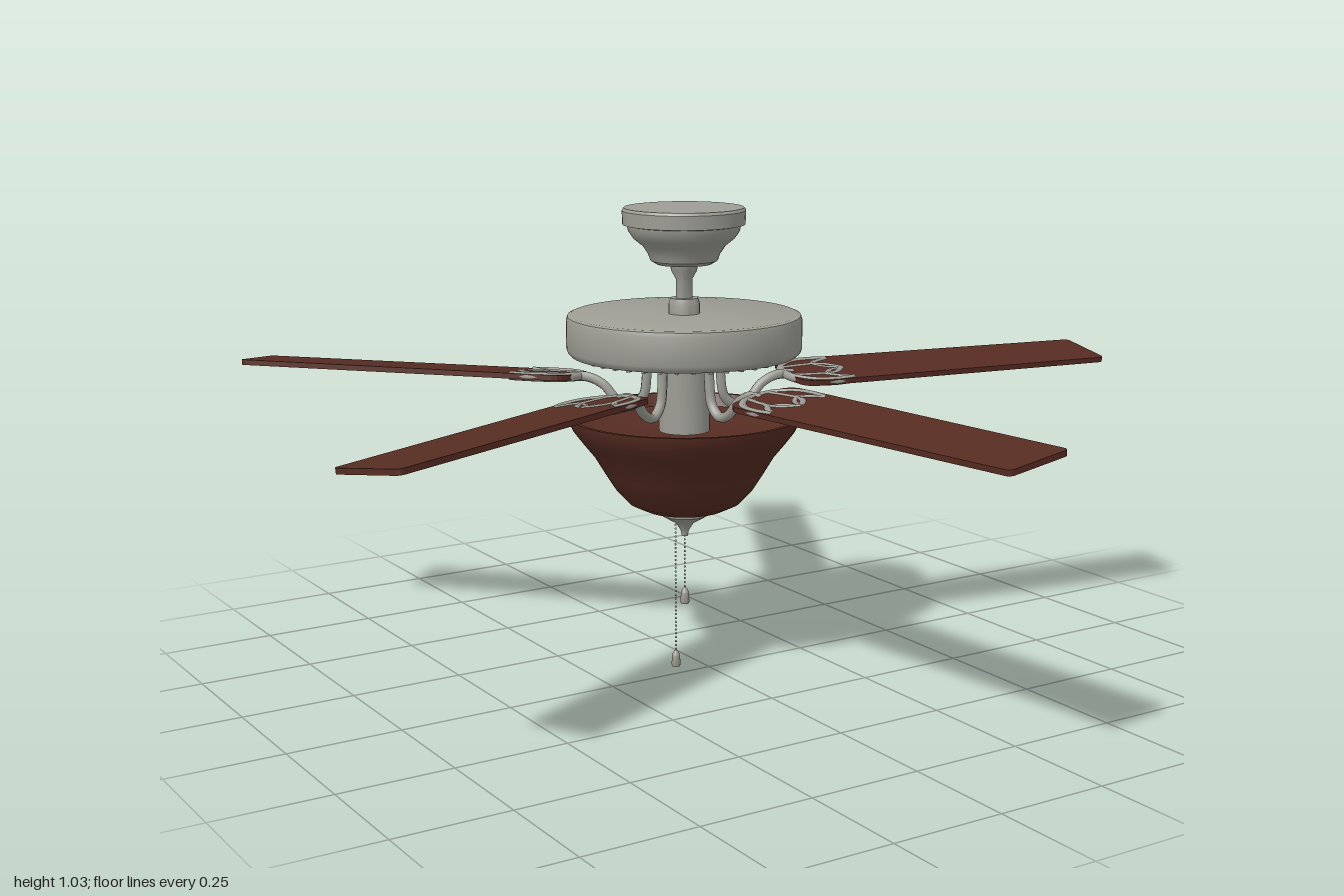
import * as THREE from 'three';
import { toCreasedNormals } from 'three/addons/utils/BufferGeometryUtils.js';

const metal = new THREE.MeshStandardMaterial({ color: 0x9d9d95 });
metal.name = 'brushed metal';
const wood = new THREE.MeshStandardMaterial({ color: 0x562c22 });
wood.name = 'reddish brown';

function add(parent, name, geometry, material) {
  const mesh = new THREE.Mesh(geometry, material);
  mesh.name = name;
  parent.add(mesh);
  return mesh;
}

// Turned part; the profile of [radius, y] runs from bottom to top.
function turned(profile, segments = 48) {
  const pts = profile.map(([r, y]) => new THREE.Vector2(r, y));
  return toCreasedNormals(new THREE.LatheGeometry(pts, segments), 0.6);
}

function tube(points, radius, segments = 24, sides = 8) {
  const curve = new THREE.CatmullRomCurve3(points.map((p) => new THREE.Vector3(...p)));
  return new THREE.TubeGeometry(curve, segments, radius, sides);
}

// Blade outline lying along +x, with rounded corners and a slight taper.
function bladeGeometry() {
  const a = 0.245, b = 1.03, wa = 0.089, wb = 0.08, c = 0.045, d = 0.014, t = 0.012;
  const s = new THREE.Shape();
  s.moveTo(a + c, -wa);
  s.lineTo(b - d, -wb);
  s.quadraticCurveTo(b, -wb, b, -wb + d);
  s.lineTo(b, wb - d);
  s.quadraticCurveTo(b, wb, b - d, wb);
  s.lineTo(a + c, wa);
  s.quadraticCurveTo(a, wa, a, wa - c);
  s.lineTo(a, -wa + c);
  s.quadraticCurveTo(a, -wa, a + c, -wa);
  const g = new THREE.ExtrudeGeometry(s, { depth: t, bevelEnabled: false, curveSegments: 6 });
  return g.translate(0, 0, -t / 2).rotateX(Math.PI / 2);
}

// Pull chain of small beads with a fob at its lower end.
function pullChain(parent, name, x, top, bottom) {
  const chain = new THREE.Group();
  chain.name = name;
  chain.position.x = x;
  parent.add(chain);
  const bead = new THREE.SphereGeometry(0.0026, 6, 4);
  for (let y = bottom + 0.04; y < top; y += 0.009) {
    add(chain, 'chainBead', bead, metal).position.y = y;
  }
  add(chain, 'chainFob', turned([
    [0, bottom], [0.009, bottom], [0.01, bottom + 0.004], [0.009, bottom + 0.026],
    [0.005, bottom + 0.034], [0, bottom + 0.038],
  ], 12), metal);
}

export function createModel() {
  const fan = new THREE.Group();
  fan.name = 'ceilingFan';
  const hub = new THREE.Group();
  hub.name = 'hub';
  hub.position.set(-0.035, 0, -0.046);
  fan.add(hub);

  // Ceiling canopy, downrod and motor
  add(hub, 'canopy', turned([
    [0, 0.908], [0.06, 0.908], [0.073, 0.916], [0.078, 0.93], [0.09, 0.948], [0.11, 0.964],
    [0.121, 0.98], [0.123, 0.992], [0.133, 0.994], [0.134, 1.024], [0.13, 1.03], [0, 1.03],
  ]), metal);
  add(hub, 'downrod', turned([
    [0.018, 0.8], [0.018, 0.875], [0.028, 0.893], [0.031, 0.91],
  ], 24), metal);
  add(hub, 'rodCollar', turned([
    [0.034, 0.795], [0.034, 0.822], [0.03, 0.834], [0, 0.834],
  ], 24), metal);
  add(hub, 'motorHousing', turned([
    [0, 0.712], [0.248, 0.712], [0.254, 0.718], [0.257, 0.726], [0.257, 0.788],
    [0.254, 0.797], [0.247, 0.8], [0, 0.8],
  ], 64), metal);

  // Radial cooling ribs under the motor
  const rib = new THREE.BoxGeometry(0.1, 0.008, 0.007).translate(0.18, 0.709, 0);
  for (let i = 0; i < 40; i++) {
    add(hub, 'ventRib', rib, metal).rotation.y = (i / 40) * Math.PI * 2;
  }

  // Switch column and light bowl
  add(hub, 'switchColumn', turned([
    [0, 0.54], [0.056, 0.54], [0.056, 0.69], [0.085, 0.7], [0.085, 0.714],
  ], 32), metal);
  add(hub, 'lightBowl', turned([
    [0, 0.35], [0.05, 0.354], [0.09, 0.364], [0.125, 0.381], [0.152, 0.41], [0.176, 0.448],
    [0.2, 0.488], [0.226, 0.52], [0.245, 0.545], [0.255, 0.566], [0.257, 0.576],
    [0.248, 0.576], [0.236, 0.548], [0.19, 0.535], [0, 0.535],
  ], 64), wood);
  add(hub, 'finial', turned([
    [0, 0.298], [0.007, 0.3], [0.009, 0.312], [0.014, 0.32], [0.02, 0.33],
    [0.038, 0.34], [0.054, 0.35], [0.055, 0.358], [0, 0.362],
  ], 24), metal);

  pullChain(hub, 'shortPullChain', 0, 0.305, 0.143);
  pullChain(hub, 'longPullChain', -0.024, 0.345, 0);

  // Shared blade and bracket geometries
  const blade = bladeGeometry();
  const arm = tube([
    [0.085, 0.715, 0], [0.086, 0.66, 0], [0.095, 0.61, 0], [0.122, 0.588, 0],
    [0.155, 0.6, 0], [0.185, 0.632, 0], [0.22, 0.648, 0], [0.262, 0.648, 0],
  ], 0.011, 32);
  const petals = [];
  for (const m of [-1, 1]) {
    petals.push(
      // outer leaf edge, leaf inner edge, middle leaf edge and cross vein
      tube([[0.24, 0, 0], [0.25, 0, 0.04 * m], [0.285, 0, 0.072 * m], [0.33, 0, 0.08 * m], [0.378, 0, 0.074 * m]], 0.01),
      tube([[0.378, 0, 0.074 * m], [0.345, 0, 0.058 * m], [0.322, 0, 0.04 * m], [0.29, 0, 0.036 * m], [0.25, 0, 0.03 * m]], 0.009),
      tube([[0.322, 0, 0.04 * m], [0.355, 0, 0.03 * m], [0.383, 0, 0]], 0.009, 12),
      tube([[0.383, 0, 0], [0.35, 0, 0.012 * m], [0.325, 0, 0.04 * m]], 0.008, 12),
    );
  }

  // Five blades, each pitched about its own length
  [9.9, 83.3, 155.2, 227.6, 299.1].forEach((deg) => {
    const unit = new THREE.Group();
    unit.name = 'bladeUnit';
    unit.rotation.y = -THREE.MathUtils.degToRad(deg);
    hub.add(unit);
    add(unit, 'bladeArm', arm, metal);
    const pitched = new THREE.Group();
    pitched.name = 'pitchedBlade';
    pitched.position.y = 0.649;
    pitched.rotation.x = 0.11;
    unit.add(pitched);
    add(pitched, 'blade', blade, wood);
    petals.forEach((g) => add(pitched, 'bracketPetal', g, metal));
  });

  return fan;
}
